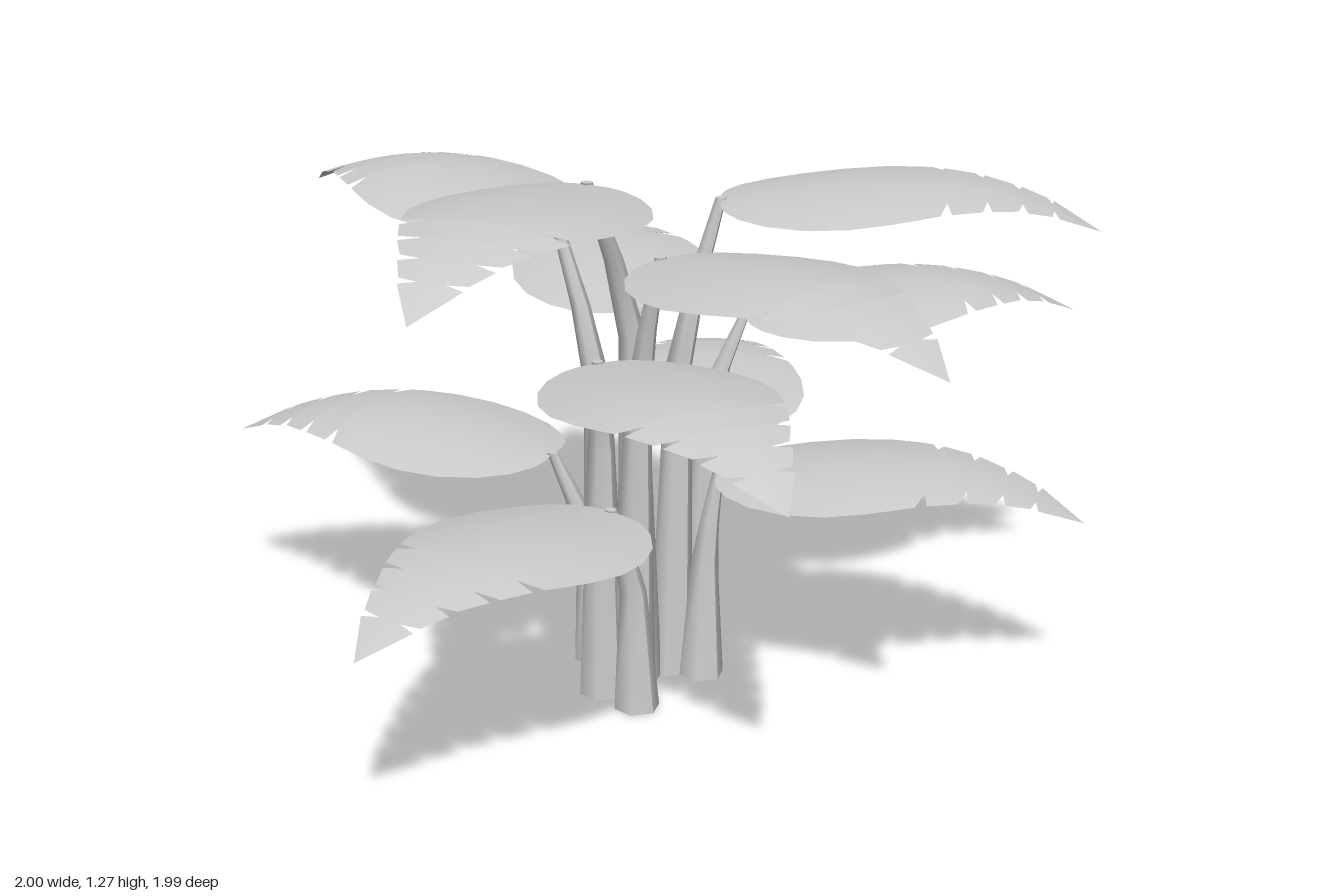
import * as THREE from 'three';

const material = new THREE.MeshStandardMaterial({ color: 0xcccccc, side: THREE.DoubleSide });

// Leaf outline: [fraction of length, half width]; smooth oval, then notched toward the tip
const OUTLINE = [
  [0, 0.05], [0.012, 0.09], [0.05, 0.14], [0.12, 0.19], [0.22, 0.228], [0.33, 0.243], [0.44, 0.232],
  [0.53, 0.208], [0.565, 0.195], [0.585, 0.135], [0.595, 0.185], [0.675, 0.155], [0.69, 0.095],
  [0.70, 0.145], [0.77, 0.11], [0.785, 0.06], [0.795, 0.105], [0.86, 0.075], [0.87, 0.03],
  [0.88, 0.07], [1, 0],
];

// Each frond: stem foot [x, z], leaf base [x, y, z], leaf tip [x, z], height fraction of the stem's knee
const FRONDS = [
  // low tier
  { foot: [0.02, -0.14], base: [-0.04, 0.5, -0.22], tip: [-0.34, -0.98], knee: 0.57 },
  { foot: [0.21, -0.1], base: [0.28, 0.5, -0.08], tip: [0.91, -0.6], knee: 0.57 },
  { foot: [0.13, 0.09], base: [0.15, 0.5, 0.12], tip: [0.6, 0.8], knee: 0.57 },
  { foot: [-0.1, 0.11], base: [-0.19, 0.5, 0.12], tip: [-1, 0.22], knee: 0.57 },
  // middle tier
  { foot: [0.11, -0.1], base: [0.15, 0.82, -0.13], tip: [0.6, -0.81], knee: 0.72 },
  { foot: [0.2, 0.01], base: [0.28, 0.82, 0.07], tip: [1, 0.45], knee: 0.72 },
  { foot: [-0.1, 0], base: [-0.17, 0.82, 0.06], tip: [-0.42, 0.84], knee: 0.72 },
  // upper tier
  { foot: [-0.03, -0.06], base: [-0.06, 1.06, -0.18], tip: [-0.06, -1], knee: 0.66 },
  { foot: [-0.05, 0.05], base: [-0.09, 1.06, 0.17], tip: [-0.13, 0.99], knee: 0.66 },
  { foot: [0.1, 0.02], base: [0.18, 1.12, 0.09], tip: [0.73, 0.71], knee: 0.66 },
  { foot: [0.02, 0], base: [-0.19, 1.22, 0.05], tip: [-0.96, 0.36], knee: 0.68 },
];

// Domed leaf of unit length along +z, arching up and then drooping at the tip
function leafGeometry() {
  const columns = 6, rows = OUTLINE.length;
  const geometry = new THREE.PlaneGeometry(1, 1, columns, rows - 1).rotateX(-Math.PI / 2);
  const position = geometry.attributes.position;
  for (let i = 0; i < position.count; i++) {
    const [t, halfWidth] = OUTLINE[Math.floor(i / (columns + 1))];
    const x = position.getX(i) * 2 * halfWidth;
    const arch = t * (0.143 + 0.037 * t - 0.24 * t * t);
    const droop = 0.035 * (x / 0.24) ** 2;
    position.setXYZ(i, x, arch - droop, t);
  }
  geometry.computeVertexNormals();
  return geometry;
}

// Tapered six-sided stem that rises, then leans out to the leaf base
function stemGeometry({ foot, base, knee }) {
  const heights = [0, knee, (knee + 1) / 2, 1];
  const lean = [0, 0.15, 0.5, 1];
  const radii = [0.052, 0.031, 0.022, 0.013];
  const geometry = new THREE.CylinderGeometry(1, 1, 1, 6, 3);
  const position = geometry.attributes.position;
  for (let i = 0; i < position.count; i++) {
    const k = Math.round((position.getY(i) + 0.5) * 3);
    position.setXYZ(
      i,
      THREE.MathUtils.lerp(foot[0], base[0], lean[k]) + position.getX(i) * radii[k],
      base[1] * heights[k] + (k === 3 ? 0.005 : 0),
      THREE.MathUtils.lerp(foot[1], base[2], lean[k]) + position.getZ(i) * radii[k],
    );
  }
  geometry.computeVertexNormals();
  return geometry;
}

export function createModel() {
  const plant = new THREE.Group();
  plant.name = 'leafyPlant';
  const leafShape = leafGeometry();

  for (const frond of FRONDS) {
    const group = new THREE.Group();
    group.name = 'frond';

    const stem = new THREE.Mesh(stemGeometry(frond), material);
    stem.name = 'stem';

    // Leaf turned from its base toward its tip
    const dx = frond.tip[0] - frond.base[0];
    const dz = frond.tip[1] - frond.base[2];
    const leaf = new THREE.Mesh(leafShape, material);
    leaf.name = 'leaf';
    leaf.position.set(...frond.base);
    leaf.rotation.y = Math.atan2(dx, dz);
    leaf.scale.z = Math.hypot(dx, dz);

    group.add(stem, leaf);
    plant.add(group);
  }
  return plant;
}
